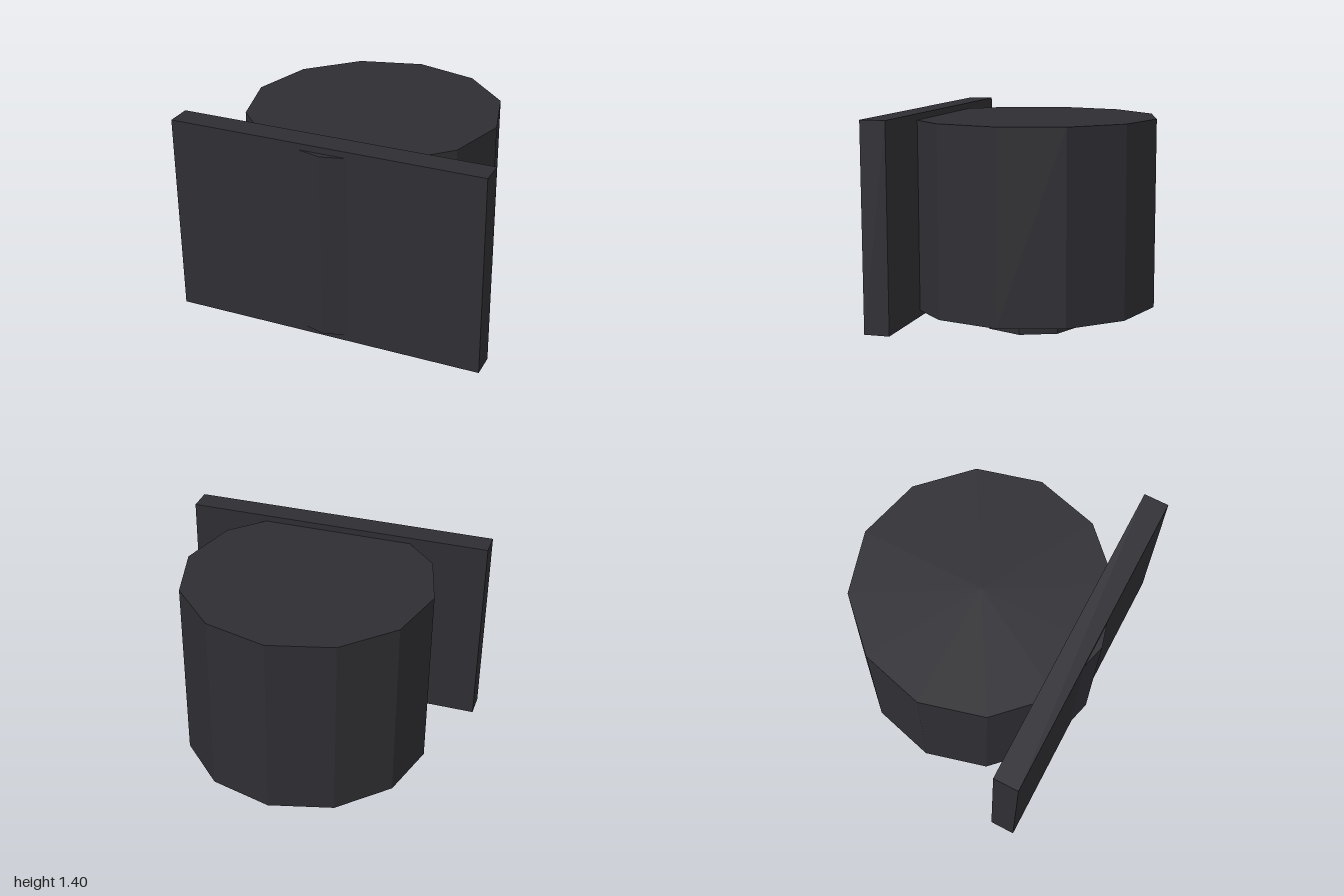
import * as THREE from 'three';

export function createModel() {
  const group = new THREE.Group();
  const dark = new THREE.MeshStandardMaterial({ color: 0x2e2e33, flatShading: true });

  const add = (name, geometry, y, z = 0) => {
    const mesh = new THREE.Mesh(geometry, dark);
    mesh.name = name;
    mesh.position.set(0, y, z);
    group.add(mesh);
  };

  // Twelve-sided drum, its front corner poking through the plate
  add('drumBody', new THREE.CylinderGeometry(0.8, 0.8, 1.2, 12), 0.76);
  // Eight-sided foot under the drum
  add('foot', new THREE.CylinderGeometry(0.32, 0.32, 0.16, 8), 0.08);
  // Flat plate across the front
  add('frontPlate', new THREE.BoxGeometry(2, 1.28, 0.16), 0.76, 0.68);

  return group;
}
